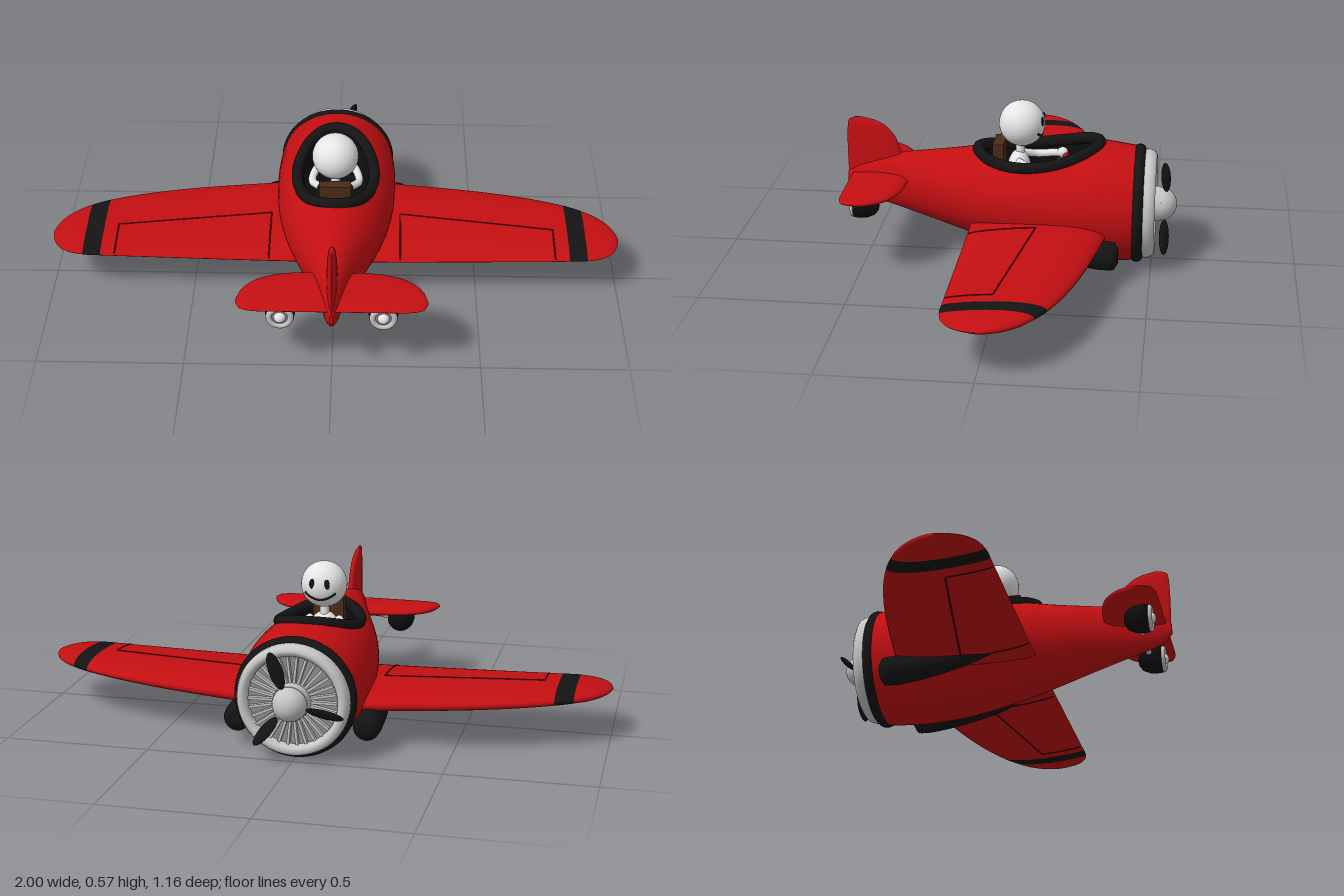
import * as THREE from 'three';

const paint = (name, color, side = THREE.FrontSide) => {
  const m = new THREE.MeshStandardMaterial({ color, side });
  m.name = name;
  return m;
};
const red = paint('red paint', 0xc40f12);
const darkRed = paint('panel line', 0x5c0709);
const black = paint('black rubber', 0x141414);
const lining = paint('cockpit lining', 0x0d0d0d, THREE.DoubleSide);
const grey = paint('light metal', 0xc4c4c4);
const darkGrey = paint('engine metal', 0x8c8c8c);
const white = paint('white', 0xe6e6e6);
const brown = paint('brown leather', 0x4a2c18);

const V = (x, y, z) => new THREE.Vector3(x, y, z);
const range = (n, f) => Array.from({ length: n + 1 }, (_, i) => f(i / n));

// Smooth table lookup: rows of [station, value, value...]
function table(rows) {
  const n = rows[0].length - 1;
  const spline = new THREE.CubicInterpolant(rows.map(r => r[0]), rows.flatMap(r => r.slice(1)), n, new Float32Array(n));
  return s => Array.from(spline.evaluate(s));
}

// Skin over a list of rings, optionally closed at both ends, facing outward
function loft(rings, caps = true) {
  if (caps) {
    const mid = r => { const c = V(0, 0, 0); r.forEach(p => c.addScaledVector(p, 1 / r.length)); return r.map(() => c); };
    const a = rings[0], b = rings[rings.length - 1];
    rings = [mid(a), a, ...rings, b, mid(b)];
  }
  const w = rings[0].length, pts = rings.flat(), idx = [];
  const centre = new THREE.Box3().setFromPoints(pts).getCenter(V(0, 0, 0));
  for (let i = 0; i < rings.length - 1; i++) for (let j = 0; j < w - 1; j++) {
    const a = i * w + j, b = a + 1, c = a + w, d = c + 1;
    idx.push(a, c, b, b, c, d);
  }
  let volume = 0;
  for (let i = 0; i < idx.length; i += 3) {
    const [a, b, c] = [0, 1, 2].map(k => pts[idx[i + k]].clone().sub(centre));
    volume += a.dot(b.cross(c));
  }
  if (volume < 0) idx.reverse();
  const g = new THREE.BufferGeometry().setFromPoints(pts);
  g.setIndex(idx);
  g.computeVertexNormals();
  return g;
}

// Flying surfaces: [station, leading z, trailing z, centre height, half thickness]
const wingAt = table([
  [0, -0.375, 0.125, 0.155, 0.042], [0.22, -0.343, 0.125, 0.157, 0.038], [0.6, -0.275, 0.125, 0.165, 0.03],
  [0.8, -0.213, 0.125, 0.17, 0.024], [0.88, -0.172, 0.123, 0.172, 0.022], [0.94, -0.125, 0.105, 0.172, 0.018],
  [0.98, -0.07, 0.067, 0.172, 0.011], [0.995, -0.03, 0.03, 0.172, 0.006], [1, -0.005, 0.005, 0.172, 0.002]]);
const tailAt = table([
  [0, 0.353, 0.56, 0.283, 0.018], [0.13, 0.357, 0.56, 0.283, 0.017], [0.2, 0.37, 0.56, 0.283, 0.015],
  [0.26, 0.4, 0.558, 0.283, 0.013], [0.295, 0.44, 0.548, 0.283, 0.01], [0.31, 0.475, 0.535, 0.283, 0.006],
  [0.316, 0.5, 0.515, 0.283, 0.002]]);
const finAt = table([
  [0.26, 0.34, 0.575, 0, 0.02], [0.365, 0.385, 0.577, 0, 0.017], [0.43, 0.412, 0.576, 0, 0.014],
  [0.465, 0.447, 0.573, 0, 0.011], [0.483, 0.485, 0.567, 0, 0.007], [0.491, 0.52, 0.55, 0, 0.002]]);
function foil(at, from, to, n, place) {
  return loft(range(n, u => {
    const s = from + (to - from) * u, [l, t, c, h] = at(s);
    return range(32, v => {
      const k = Math.cos(v * 2 * Math.PI);
      return place(s, c + h * Math.sin(v * 2 * Math.PI) * (1 - 0.35 * k), (l + t) / 2 + (t - l) / 2 * k);
    });
  }));
}
function onWing(x, z, top) {
  const [l, t, c, h] = wingAt(x), k = THREE.MathUtils.clamp((2 * z - l - t) / (t - l), -1, 1);
  return c + top * h * Math.sqrt(1 - k * k) * (1 - 0.35 * k);
}

// Fuselage: [z, bottom, top, half width]
const hullAt = table([
  [-0.46, 0.012, 0.408, 0.198], [-0.4, 0.008, 0.417, 0.207], [-0.3, 0.005, 0.43, 0.213], [-0.2, 0.012, 0.43, 0.211],
  [-0.1, 0.028, 0.424, 0.204], [0, 0.05, 0.412, 0.187], [0.1, 0.076, 0.396, 0.162], [0.2, 0.105, 0.383, 0.13],
  [0.3, 0.135, 0.373, 0.095], [0.4, 0.165, 0.36, 0.062], [0.5, 0.195, 0.335, 0.034], [0.55, 0.215, 0.31, 0.02],
  [0.578, 0.245, 0.285, 0.006]]);
const pit = { z: -0.1, rz: 0.212, rx: 0.135 };
function hullRing(z) {
  const [b, t, w] = hullAt(z), q = (z - pit.z) / pit.rz;
  const open = Math.abs(q) < 1 ? Math.asin(pit.rx * Math.sqrt(1 - q * q) / w) : 0;
  return range(56, u => {
    const a = open + (2 * Math.PI - 2 * open) * u;
    return V(w * Math.sin(a), (b + t) / 2 + (t - b) / 2 * Math.cos(a), z);
  });
}

export function createModel() {
  const model = new THREE.Group();
  model.name = 'aeroplane';
  const add = (name, geo, mat, x = 0, y = 0, z = 0, parent = model) => {
    const m = new THREE.Mesh(geo, mat);
    m.name = name;
    m.position.set(x, y, z);
    parent.add(m);
    return m;
  };
  const tube = (pts, r, closed = false, n = 24) => new THREE.TubeGeometry(new THREE.CatmullRomCurve3(pts, closed), n, r, 10, closed);
  const ball = (r, sx = 1, sy = 1, sz = 1) => new THREE.SphereGeometry(r, 32, 20).scale(sx, sy, sz);
  const rod = (r, len, r2 = r) => new THREE.CylinderGeometry(r2, r, len, 40).rotateX(-Math.PI / 2);

  // Fuselage with an open cockpit
  const stations = [...range(5, u => -0.46 + 0.148 * u).slice(0, 5), ...range(28, u => pit.z - pit.rz * Math.cos(u * Math.PI)),
    ...range(24, u => 0.112 + 0.466 * u).slice(1)];
  add('fuselage', loft(stations.map(hullRing)), red);

  // Cockpit rim and lining
  const rim = range(64, u => {
    const a = u * 2 * Math.PI, x = pit.rx * Math.cos(a), z = pit.z + pit.rz * Math.sin(a), [b, t, w] = hullAt(z);
    return V(x, (b + t) / 2 + (t - b) / 2 * Math.sqrt(1 - (x / w) ** 2), z);
  });
  add('cockpitRim', tube(rim.slice(0, -1), 0.02, true, 96), black);
  const well = (s, y) => rim.map(p => V(p.x * s, y, pit.z + (p.z - pit.z) * s));
  add('cockpitLining', loft([rim, well(0.95, 0.27), well(0.9, 0.25), well(0.01, 0.25)], false), lining);

  // Cowling, engine fins and spinner
  const axis = 0.21;
  add('cowlBand', new THREE.TorusGeometry(0.185, 0.022, 16, 64), black, 0, axis, -0.449);
  const lip = [[0.19, 0.44], [0.19, 0.485], [0.184, 0.502], [0.172, 0.51], [0.16, 0.506], [0.152, 0.495], [0.15, 0.47]];
  add('cowl', new THREE.LatheGeometry(lip.map(p => new THREE.Vector2(...p)), 64).rotateX(-Math.PI / 2), grey, 0, axis, 0)
    .material = paint('cowl metal', 0xc8c8c8, THREE.DoubleSide);
  add('engineDisc', rod(0.155, 0.02), darkGrey, 0, axis, -0.47);
  for (let i = 0; i < 30; i++) {
    const fin = add('engineFin', new THREE.BoxGeometry(0.1, 0.009, 0.018).translate(0.1, 0, 0), grey, 0, axis, -0.487);
    fin.rotation.z = i * Math.PI / 15;
  }
  add('propellerHub', rod(0.064, 0.05, 0.06), grey, 0, axis, -0.503);
  add('spinner', ball(0.058), grey, 0, axis, -0.526);
  for (const deg of [70, 190, 310]) {
    const blade = add('propellerBlade', ball(1, 0.064, 0.024, 0.009).rotateX(0.7).translate(0.122, 0, 0), black, 0, axis, -0.543);
    blade.rotation.z = deg * Math.PI / 180;
  }

  // Fin
  add('fin', foil(finAt, 0.26, 0.491, 24, (s, c, z) => V(c, s, z)), red);

  for (const side of [1, -1]) {
    const across = (s, c, z) => V(side * s, c, z);
    // Wing in three painted lengths
    add('wing', foil(wingAt, 0.02, 0.82, 24, across), red);
    add('wingStripe', foil(wingAt, 0.82, 0.882, 6, across), black);
    add('wingTip', foil(wingAt, 0.882, 1, 20, across), red);
    // Flap outlines on both faces
    for (const top of [1, -1]) {
      const path = [[0.23, 0.12, 0.23, -0.11], [0.23, -0.11, 0.77, -0.03], [0.77, -0.03, 0.77, 0.12]];
      for (const [x0, z0, x1, z1] of path) add('flapLine', tube(range(10, u => {
        const x = x0 + (x1 - x0) * u, z = z0 + (z1 - z0) * u;
        return V(side * x, onWing(x, z, top), z);
      }), 0.0025), darkRed);
    }
    add('tailplane', foil(tailAt, 0, 0.316, 24, across), red);

    // Main gear fairing: z, bottom, top, half width
    const gearAt = table([[-0.392, 0.075, 0.125, 0.025], [-0.385, 0.057, 0.14, 0.04], [-0.36, 0.05, 0.148, 0.046],
      [-0.29, 0.055, 0.15, 0.046], [-0.2, 0.072, 0.15, 0.041], [-0.1, 0.097, 0.15, 0.03], [-0.01, 0.128, 0.15, 0.01]]);
    add('gearFairing', loft(range(30, u => {
      const z = -0.392 + 0.382 * u, [b, t, w] = gearAt(z);
      return range(24, v => V(side * 0.222 + w * Math.cos(v * 2 * Math.PI), (b + t) / 2 + (t - b) / 2 * Math.sin(v * 2 * Math.PI), z));
    })), black);

    // Tail pod with a metal nozzle
    const pod = new THREE.Group();
    pod.name = 'tailPod';
    pod.position.set(side * 0.17, 0.232, 0);
    model.add(pod);
    const shell = [[0.001, -0.436], [0.02, -0.44], [0.036, -0.452], [0.046, -0.475], [0.049, -0.5], [0.047, -0.522], [0.001, -0.522]];
    add('podShell', new THREE.LatheGeometry(shell.map(([r, z]) => new THREE.Vector2(r, -z)).reverse(), 32)
      .rotateX(Math.PI / 2), black, 0, 0, 0, pod).material = lining;
    add('nozzleRing', new THREE.TorusGeometry(0.036, 0.01, 12, 32), grey, 0, 0, 0.525, pod);
    add('nozzleDisc', rod(0.034, 0.01), darkGrey, 0, 0, 0.522, pod);
    add('nozzleCone', ball(0.02), white, 0, 0, 0.525, pod);
    add('podStrut', tube([V(-side * 0.15, 0.01, 0.48), V(-side * 0.08, 0.015, 0.48), V(0, 0, 0.48)], 0.01), grey, 0, 0, 0, pod);

    // Pilot arms, hands and eyes
    add('arm', tube([V(side * 0.05, 0.365, -0.03), V(side * 0.082, 0.35, -0.09), V(side * 0.07, 0.36, -0.15), V(side * 0.055, 0.365, -0.175)], 0.014), white);
    add('hand', ball(0.019), white, side * 0.055, 0.367, -0.178);
    add('eye', ball(0.012, 0.8, 1.5, 0.4), black, side * 0.026, 0.505, -0.113);
  }

  // Pilot and seat
  add('pilotBody', ball(0.055, 1, 1.3, 0.75), white, 0, 0.32, -0.03);
  add('neck', new THREE.CylinderGeometry(0.016, 0.016, 0.06, 20), white, 0, 0.4, -0.034);
  add('head', ball(0.08), white, 0, 0.49, -0.04);
  add('smile', tube(range(12, u => {
    const a = (u - 0.5) * 1.5, y = -0.04 + 0.022 * (2 * u - 1) ** 2;
    const r = Math.sqrt(0.08 ** 2 - y * y);
    return V(r * Math.sin(a), 0.49 + y, -0.04 - r * Math.cos(a));
  }), 0.004), black);
  add('seatBack', new THREE.BoxGeometry(0.11, 0.16, 0.038), brown, 0, 0.345, 0.038);
  add('seatCushion', new THREE.BoxGeometry(0.11, 0.03, 0.11), brown, 0, 0.265, -0.02);
  add('controlColumn', tube([V(0, 0.25, -0.17), V(0, 0.31, -0.19), V(0, 0.36, -0.19)], 0.01), red);
  add('controlBar', new THREE.CylinderGeometry(0.01, 0.01, 0.13, 16).rotateZ(Math.PI / 2), red, 0, 0.36, -0.19);
  return model;
}
